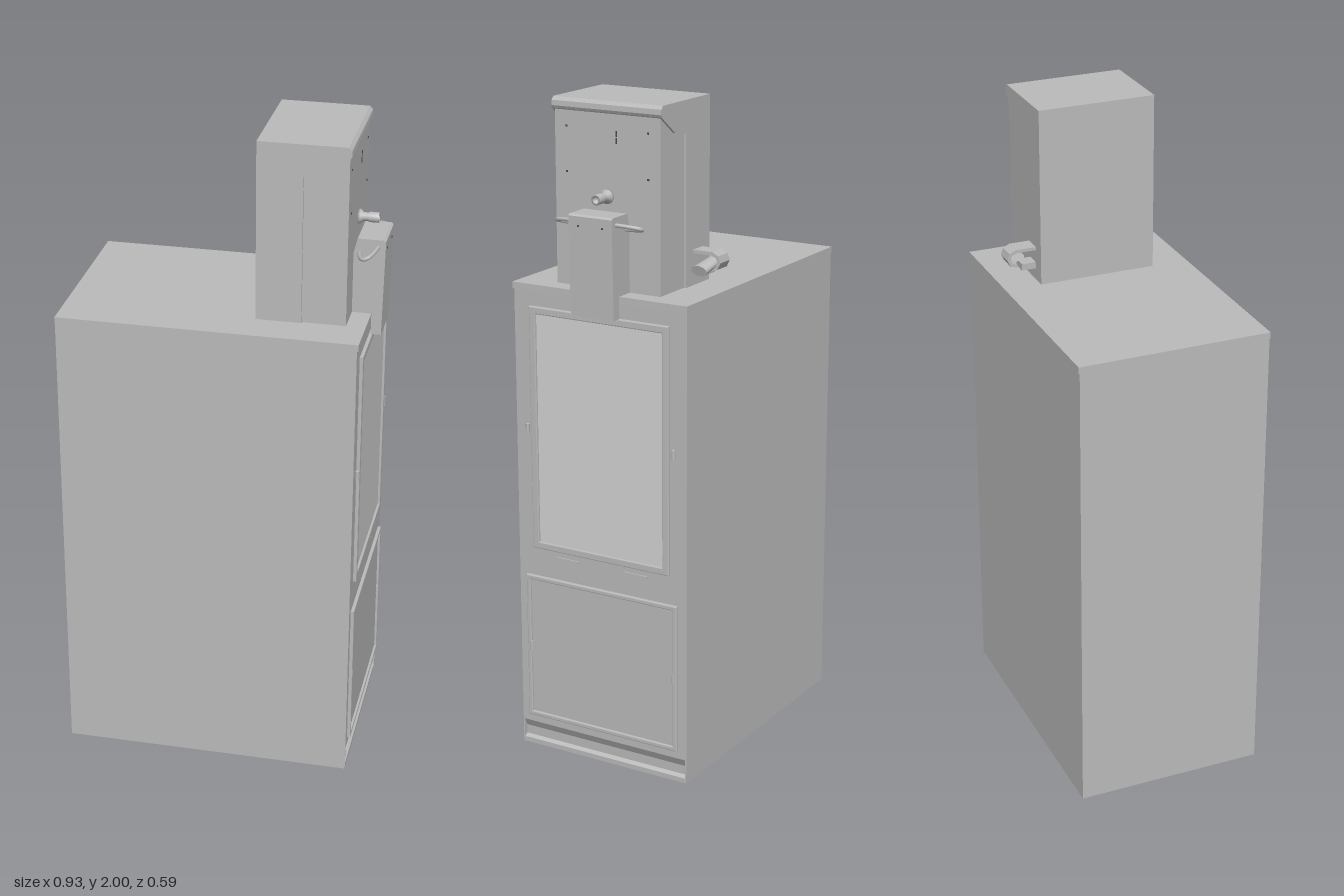
import * as THREE from 'three';

export function createModel() {
  const root = new THREE.Group();
  const mat = (name, color) => {
    const m = new THREE.MeshStandardMaterial({ color });
    m.name = name;
    return m;
  };
  const steel = mat('brushed grey', 0xbababa);
  const pale = mat('pale door panel', 0xd2d2d2);
  const dark = mat('dark mark', 0x4a4a4c);

  const add = (name, geo, m = steel, parent = root) => {
    const mesh = new THREE.Mesh(geo, m);
    mesh.name = name;
    parent.add(mesh);
    return mesh;
  };
  // box given by its limits on each axis
  const box = (name, x0, x1, y0, y1, z0, z1, m, parent) => {
    const b = add(name, new THREE.BoxGeometry(x1 - x0, y1 - y0, z1 - z0), m, parent);
    b.position.set((x0 + x1) / 2, (y0 + y1) / 2, (z0 + z1) / 2);
    return b;
  };
  const shapeOf = pts => new THREE.Shape(pts.map(p => new THREE.Vector2(...p)));
  // x-y profile extruded along z, centred on z = 0
  const slab = (name, pts, width) => {
    const g = new THREE.ExtrudeGeometry(shapeOf(pts), { depth: width, bevelEnabled: false });
    g.translate(0, 0, -width / 2);
    return add(name, g);
  };

  // cabinet with a recessed kick plate between thin side panels
  slab('cabinetBody', [[-0.463, 0], [0.42, 0], [0.42, 0.015], [0.408, 0.022], [0.408, 0.05],
    [0.421, 0.075], [0.421, 1.44], [-0.463, 1.44]], 0.574);
  for (const s of [-1, 1]) {
    box('sidePanel', -0.463, 0.421, 0, 1.44, s > 0 ? 0.287 : -0.291, s > 0 ? 0.291 : -0.287);
  }
  box('cabinetTop', -0.463, 0.426, 1.44, 1.46, -0.294, 0.294);

  // doors: stepped raised frame around a flat panel, facing +x
  const frame = (parent, y0, y1, half, rim, depth) => {
    const rect = (C, h, a, b) => new C([[-h, a], [h, a], [h, b], [-h, b]]
      .map(p => new THREE.Vector2(...p)));
    const s = rect(THREE.Shape, half, y0, y1);
    s.holes.push(rect(THREE.Path, half - rim, y0 + rim, y1 - rim));
    const g = new THREE.ExtrudeGeometry(s, {
      depth: depth - 0.003, bevelThickness: 0.003, bevelSize: 0.003, bevelOffset: -0.003, bevelSegments: 2
    });
    g.rotateY(Math.PI / 2);
    add('doorFrame', g, steel, parent).position.x = 0.42;
  };
  const door = (name, y0, y1, half, rim, m) => {
    const g = new THREE.Group();
    g.name = name;
    root.add(g);
    frame(g, y0, y1, half, rim, 0.011);
    box('doorPanel', 0.418, 0.424, y0 + rim, y1 - rim, rim - half, half - rim, m, g);
  };
  door('upperDoor', 0.65, 1.395, 0.236, 0.022, pale);
  door('lowerDoor', 0.10, 0.56, 0.263, 0.014, steel);
  // shallow finger grips below the upper door
  for (const s of [-1, 1]) {
    box('fingerGrip', 0.42, 0.425, 0.624, 0.632, s * 0.12 - 0.04, s * 0.12 + 0.04);
    for (const y of [0.33, 1.02]) {
      const hinge = add('hinge', new THREE.CylinderGeometry(0.006, 0.006, 0.03, 12));
      hinge.position.set(0.426, y, s * 0.25);
    }
  }

  // dispenser hood overhanging an inset front bezel
  slab('hood', [[0.106, 1.46], [0.24, 1.46], [0.24, 1.905], [0.30, 1.915], [0.372, 1.967],
    [0.376, 1.975], [0.375, 1.99], [0.365, 2], [0.106, 2]], 0.362);
  box('frontBezel', 0.22, 0.369, 1.46, 1.965, -0.174, 0.174);
  for (const s of [-1, 1]) {
    for (const y of [1.79, 1.92]) box('screw', 0.369, 0.371, y - 0.003, y + 0.003, s * 0.135 - 0.003, s * 0.135 + 0.003, dark);
  }
  for (const y of [1.89, 1.91]) box('indicator', 0.369, 0.371, y - 0.008, y + 0.008, -0.033, -0.029, dark);

  // tap: lathe profile turned to point along +x
  const tapPts = [[0, 0], [0.021, 0], [0.021, 0.008], [0.013, 0.016], [0.012, 0.03],
    [0.015, 0.034], [0.015, 0.062], [0.009, 0.062], [0.009, 0.05], [0, 0.05]];
  const tap = add('tap', new THREE.LatheGeometry(tapPts.map(p => new THREE.Vector2(...p)), 20));
  tap.rotation.z = -Math.PI / 2;
  tap.position.set(0.368, 1.73, 0);

  // front bracket hanging over the cabinet edge
  slab('bracket', [[0.369, 1.46], [0.426, 1.46], [0.426, 1.395], [0.456, 1.395], [0.462, 1.685],
    [0.455, 1.69], [0.38, 1.69], [0.369, 1.645]], 0.144);
  for (const z of [-0.04, 0.04]) box('bracketScrew', 0.459, 0.463, 1.655, 1.66, z - 0.003, z + 0.003, dark);

  // oval ring, tilted slightly upward away from the hood
  const oval = Array.from({ length: 24 }, (_, i) => {
    const a = i / 24 * Math.PI * 2;
    const x = 0.031 * Math.cos(a);
    return new THREE.Vector3(0.413 + x, 1.657 + x * 0.4, 0.141 * Math.sin(a));
  });
  add('ovalRing', new THREE.TubeGeometry(new THREE.CatmullRomCurve3(oval, true), 64, 0.006, 8, true));

  // curved strap on the rear side of the hood, extruded along x
  const strap = [[-0.178, 1.565], [-0.245, 1.565], [-0.265, 1.555], [-0.272, 1.535], [-0.262, 1.515],
    [-0.24, 1.508], [-0.24, 1.518], [-0.256, 1.523], [-0.262, 1.536], [-0.256, 1.549],
    [-0.24, 1.555], [-0.178, 1.555]];
  const strapGeo = new THREE.ExtrudeGeometry(shapeOf(strap.map(([z, y]) => [-z, y])),
    { depth: 0.055, bevelEnabled: false });
  strapGeo.rotateY(Math.PI / 2);
  add('sideStrap', strapGeo).position.x = 0.146;

  // short outlet held by the strap
  const outlet = add('sideOutlet', new THREE.CylinderGeometry(0.027, 0.022, 0.08, 20));
  outlet.scale.x = 0.6;
  outlet.rotation.set(0, -0.12, -Math.PI / 2 - 0.25);
  outlet.position.set(0.203, 1.525, -0.23);
  box('outletMount', 0.15, 0.195, 1.495, 1.515, -0.225, -0.178);

  return root;
}
